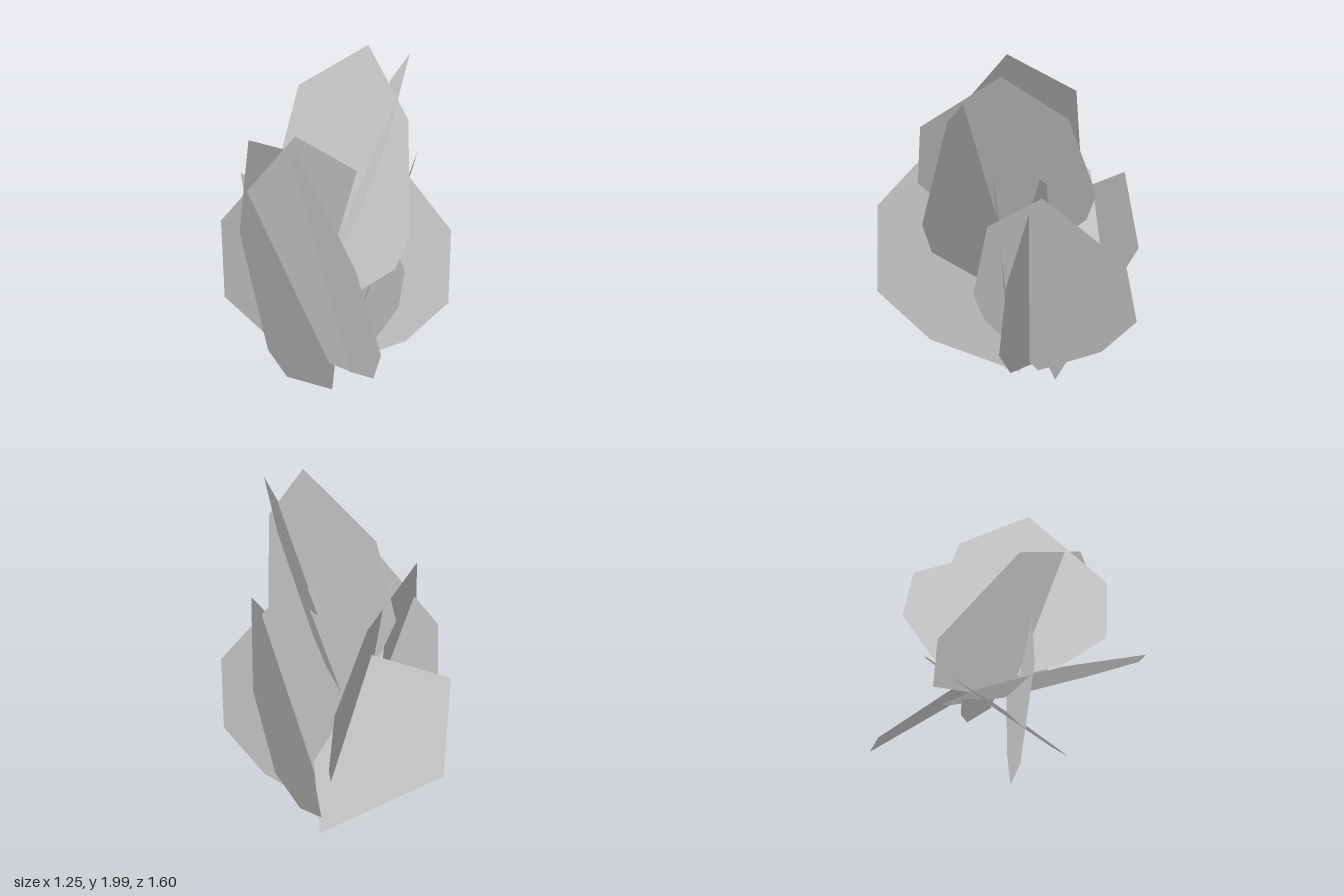
import * as THREE from 'three';

const material = new THREE.MeshStandardMaterial({
  color: 0xcccccc, flatShading: true, side: THREE.DoubleSide,
});

// Leaf outline as [towards the wide point, towards the tip], starting at the base
const wideSide = [[0, 0], [0.675, -0.084], [1, 0], [0.83, 0.38], [0, 1]];
const fullOutline = [...wideSide, [-0.54, 1.04], [-0.715, 0.715], [-0.59, 0.51]];
const trimmedOutline = [...wideSide, [-0.586, 0.97]];

// One flat convex leaf, spanned by its base, its widest corner and its tip
function makeLeaf({ name, base, wide, tip, outline = fullOutline }) {
  const origin = new THREE.Vector3(...base);
  const side = new THREE.Vector3(...wide).sub(origin);
  const up = new THREE.Vector3(...tip).sub(origin);
  const corners = outline.map(([s, t]) =>
    origin.clone().addScaledVector(side, s).addScaledVector(up, t));

  const points = [];
  for (let i = 1; i < corners.length - 1; i++) {
    points.push(corners[0], corners[i], corners[i + 1]);
  }
  const geometry = new THREE.BufferGeometry().setFromPoints(points);
  geometry.computeVertexNormals();
  const mesh = new THREE.Mesh(geometry, material);
  mesh.name = name;
  return mesh;
}

const leaves = [
  // Lower ring, rooted at the ground
  { name: 'rightLeaf', base: [0.06, 0.06, -0.03], wide: [0.58, 0.6, -0.33], tip: [0.41, 1.37, 0.15] },
  { name: 'frontRightLeaf', base: [0, 0.07, -0.02], wide: [0.45, 0.56, 0.42], tip: [0.26, 1.39, 0.08] },
  { name: 'frontLeaf', base: [0.03, 0.07, 0.08], wide: [-0.26, 0.67, 0.79], tip: [-0.365, 1.54, 0.2] },
  { name: 'leftLeaf', base: [0.03, 0.08, 0.1], wide: [-0.61, 0.64, -0.17], tip: [-0.3, 1.575, 0.08] },
  { name: 'backLeftLeaf', base: [-0.1, 0.01, 0.1], wide: [0.22, 0.82, -0.33], tip: [-0.43, 1.5, -0.17] },
  { name: 'backLeaf', base: [0.15, 0.03, -0.09], wide: [0.02, 0.8, 0.06], tip: [-0.19, 1.06, -0.74], outline: trimmedOutline },
  // Upper pair, rooted inside the ring
  { name: 'upperCrossLeaf', base: [-0.05, 0.75, -0.06], wide: [-0.235, 1.27, 0.53], tip: [0.24, 1.96, 0.28] },
  { name: 'upperSpineLeaf', base: [-0.12, 0.65, 0.23], wide: [-0.12, 1.28, -0.39], tip: [0.075, 2, 0.16] },
];

export function createModel() {
  const plant = new THREE.Group();
  plant.name = 'leafyPlant';
  for (const leaf of leaves) plant.add(makeLeaf(leaf));
  return plant;
}
